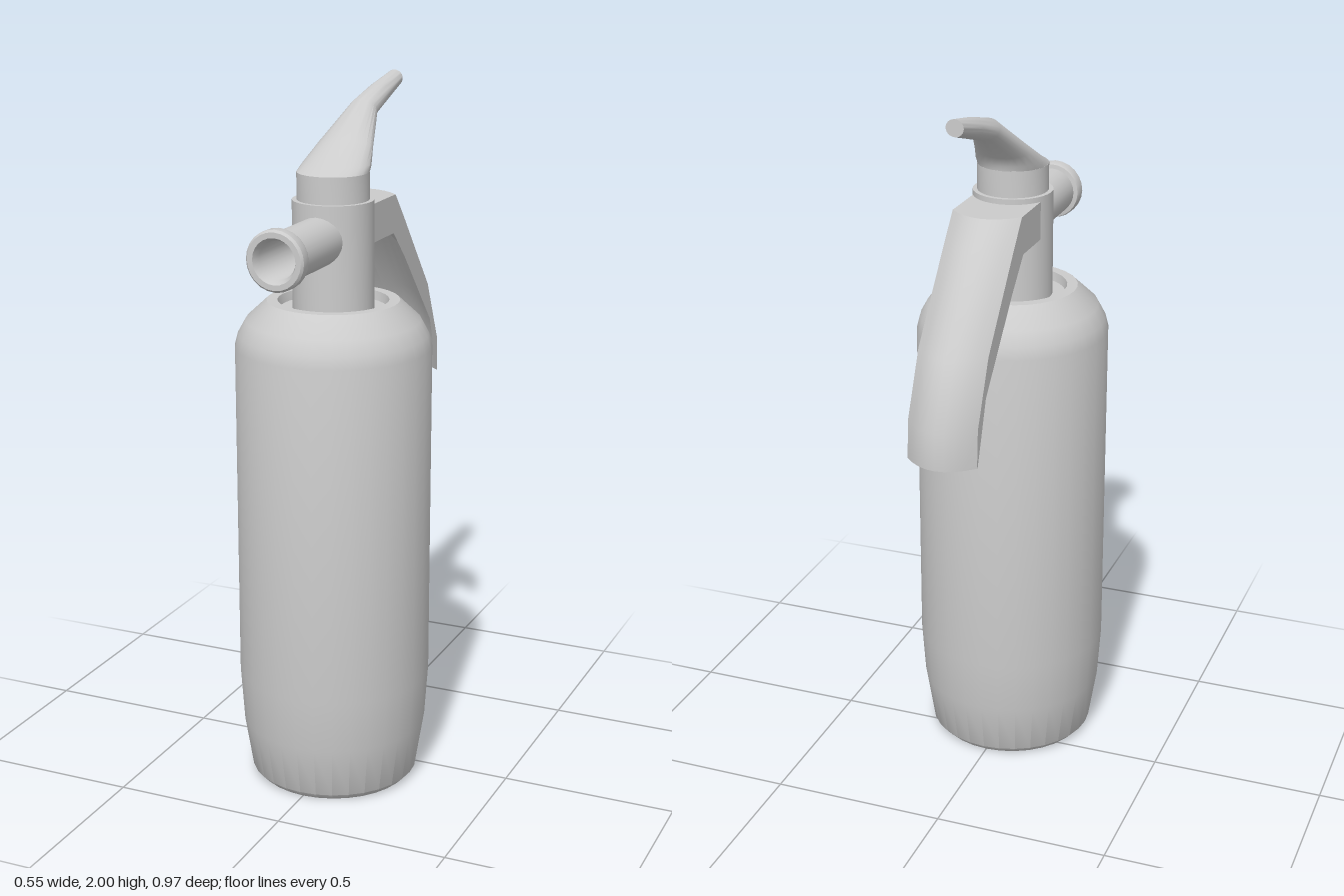
import * as THREE from 'three';
import { toCreasedNormals } from 'three/addons/utils/BufferGeometryUtils.js';

const material = new THREE.MeshStandardMaterial({ color: 0xcccccc });
const AXIS_Z = 0.113; // the bottle axis sits forward of the origin

function part(name, geometry, crease = 0.6) {
  const mesh = new THREE.Mesh(toCreasedNormals(geometry, crease), material);
  mesh.name = name;
  return mesh;
}

function lathe(name, profile, segments) {
  const points = profile.map(([r, y]) => new THREE.Vector2(r, y));
  return part(name, new THREE.LatheGeometry(points, segments));
}

// Skin a row of equal-length closed sections and cap both ends
function loft(rings) {
  const pos = [];
  const quad = (a, b, c, d) => pos.push(...a, ...b, ...c, ...a, ...c, ...d);
  const n = rings[0].length;
  for (let k = 0; k + 1 < rings.length; k++) {
    for (let i = 0; i < n; i++) {
      const j = (i + 1) % n;
      quad(rings[k][i], rings[k][j], rings[k + 1][j], rings[k + 1][i]);
    }
  }
  const first = rings[0], last = rings[rings.length - 1];
  for (let i = 0; i < n / 2 - 1; i++) {
    quad(last[i], last[i + 1], last[n - 2 - i], last[n - 1 - i]);
    quad(first[n - 1 - i], first[n - 2 - i], first[i + 1], first[i]);
  }
  const geometry = new THREE.BufferGeometry();
  geometry.setAttribute('position', new THREE.Float32BufferAttribute(pos, 3));
  return geometry;
}

// Lever: ellipses given by top point, bottom point (z, y) and half width
function leverGeometry() {
  const sections = [
    [0.213, 1.775, 0.013, 1.775, 0.1],
    [0.165, 1.795, 0.01, 1.79, 0.097],
    [0.06, 1.855, -0.005, 1.815, 0.08],
    [-0.075, 1.945, -0.12, 1.893, 0.04],
    [-0.2, 1.977, -0.21, 1.92, 0.034],
    [-0.32, 2.0, -0.32, 1.953, 0.025],
  ];
  const n = 24;
  return loft(sections.map(([tz, ty, bz, by, w]) =>
    Array.from({ length: n }, (_, i) => {
      const a = (i / n) * Math.PI * 2, s = Math.sin(a) / 2;
      return [w * Math.cos(a), (ty + by) / 2 + s * (by - ty), (tz + bz) / 2 + s * (bz - tz)];
    })));
}

// Handle: solid root becoming a thin curved gutter.
// Each section holds (z, y) of outer middle, outer side, inner side, inner middle
function handleGeometry() {
  const sections = [
    [0.08, 1.685, 0.08, 1.685, 0.08, 1.577, 0.08, 1.577],
    [-0.142, 1.685, -0.09, 1.685, -0.078, 1.577, -0.11, 1.577],
    [-0.205, 1.615, -0.15, 1.615, -0.165, 1.49, -0.18, 1.585],
    [-0.405, 1.375, -0.345, 1.375, -0.365, 1.265, -0.385, 1.355],
    [-0.485, 1.197, -0.425, 1.197, -0.395, 1.18, -0.465, 1.19],
    [-0.487, 1.09, -0.432, 1.09, -0.428, 1.09, -0.477, 1.09],
  ];
  const m = 9, half = 0.1;
  return loft(sections.map(([oz, oy, sz, sy, iz, iy, cz, cy]) => {
    const outer = [], inner = [];
    for (let i = 0; i < m; i++) {
      const u = (2 * i) / (m - 1) - 1, t = u * u;
      outer.push([u * half, oy + (sy - oy) * t, oz + (sz - oz) * t]);
      inner.unshift([u * half, cy + (iy - cy) * t, cz + (iz - cz) * t]);
    }
    return [...outer, ...inner];
  }));
}

export function createModel() {
  const model = new THREE.Group();
  model.name = 'extinguisher';

  // Bottle with tapered foot, rounded shoulder and shallow recess round the neck
  const bottle = lathe('bottle', [
    [0, 0], [0.222, 0], [0.241, 0.02], [0.265, 0.17], [0.275, 0.32], [0.275, 1.29],
    [0.266, 1.325], [0.244, 1.365], [0.185, 1.42], [0.155, 1.42], [0.15, 1.395], [0, 1.395],
  ], 32);
  bottle.position.z = AXIS_Z;

  // Valve neck with a narrower collar
  const neck = lathe('valveNeck', [
    [0.113, 1.39], [0.113, 1.7], [0.1, 1.7], [0.1, 1.775], [0, 1.775],
  ], 32);
  neck.position.z = AXIS_Z;

  // Hollow nozzle with a flanged mouth
  const nozzle = lathe('nozzle', [
    [0.068, 0.13], [0.068, 0.443], [0.08, 0.445], [0.083, 0.453], [0.083, 0.48],
    [0.077, 0.487], [0.062, 0.487], [0.052, 0.465], [0.052, 0.24], [0, 0.24],
  ], 24);
  nozzle.rotation.x = Math.PI / 2;
  nozzle.position.y = 1.6;

  model.add(bottle, neck, nozzle, part('lever', leverGeometry()), part('handle', handleGeometry(), 0.5));
  return model;
}
